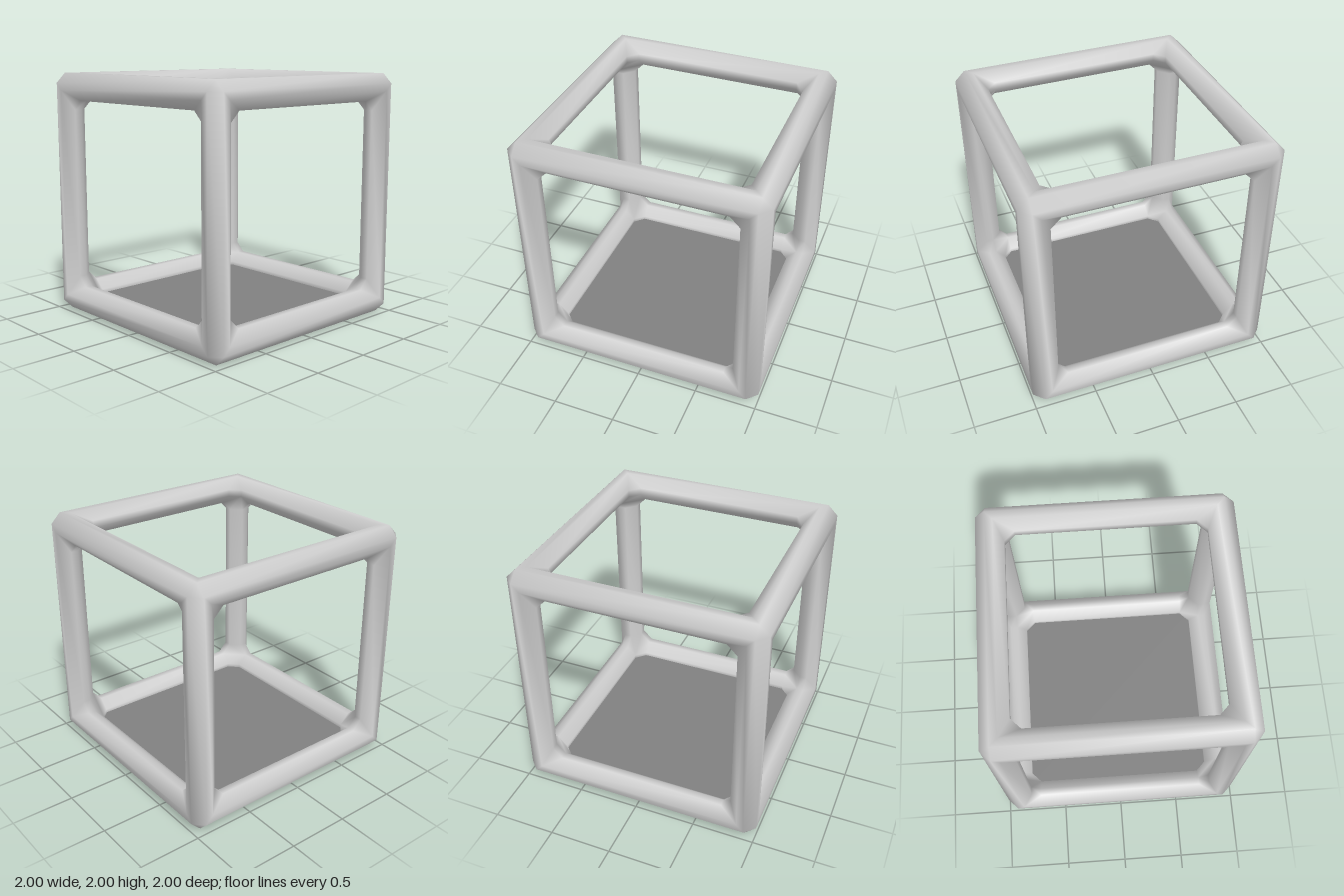
import * as THREE from 'three';
import { mergeVertices } from 'three/addons/utils/BufferGeometryUtils.js';

// Bevelled levels measured from the cube centre: outer face, outer bevel,
// inner bevel, inner face, and the start of the inside corner fillet.
const A = 1, O = 0.92, I = 0.86, M = 0.78, N = 0.70;
const SIGNS = [-1, 1];

function frameGeometry() {
  const positions = [];

  // Adds a convex polygon whose front looks along dir
  const face = (points, dir) => {
    const normal = new THREE.Vector3().crossVectors(
      points[1].clone().sub(points[0]), points[2].clone().sub(points[0]));
    const p = normal.dot(dir) < 0 ? [...points].reverse() : points;
    for (let k = 1; k < p.length - 1; k++) {
      for (const v of [p[0], p[k], p[k + 1]]) positions.push(v.x, v.y, v.z);
    }
  };
  // Point or direction with components given along axes a, a+1, a+2
  const vec = (a, u, v, w) => {
    const r = new THREE.Vector3();
    r.setComponent(a, u);
    r.setComponent((a + 1) % 3, v);
    r.setComponent((a + 2) % 3, w);
    return r;
  };

  // Octagonal beams: [reach along the beam, and the two cross coordinates]
  const ring = [[O, A, O], [O, O, A], [I, I, A], [N, M, O],
    [N, M, I], [N, I, M], [N, O, M], [I, A, I]];
  const centre = (A + M) / 2;
  for (let a = 0; a < 3; a++) for (const s of SIGNS) for (const t of SIGNS) {
    ring.forEach((p, k) => {
      const q = ring[(k + 1) % ring.length];
      face([
        vec(a, -p[0], s * p[1], t * p[2]), vec(a, p[0], s * p[1], t * p[2]),
        vec(a, q[0], s * q[1], t * q[2]), vec(a, -q[0], s * q[1], t * q[2]),
      ], vec(a, 0, s * ((p[1] + q[1]) / 2 - centre), t * ((p[2] + q[2]) / 2 - centre)));
    });
  }

  // Corner joints, mirrored into all eight corners
  for (const sx of SIGNS) for (const sy of SIGNS) for (const sz of SIGNS) {
    const flip = new THREE.Vector3(sx, sy, sz);
    const c = (a, u, v, w) => vec(a, u, v, w).multiply(flip);
    face([c(0, A, O, O), c(0, O, A, O), c(0, O, O, A)], c(0, 1, 1, 1));
    face([c(0, N, M, I), c(0, M, N, I), c(0, I, N, M),
      c(0, I, M, N), c(0, M, I, N), c(0, N, I, M)], c(0, -1, -1, -1));
    for (let a = 0; a < 3; a++) {
      face([c(a, A, I, I), c(a, O, N, M), c(a, O, M, N)], c(a, 1, -1, -1));
      face([c(a, I, N, M), c(a, O, N, M), c(a, O, M, N), c(a, I, M, N)], c(a, 0, -1, -1));
    }
  }

  const raw = new THREE.BufferGeometry();
  raw.setAttribute('position', new THREE.Float32BufferAttribute(positions, 3));
  const geometry = mergeVertices(raw, 1e-4);
  geometry.computeVertexNormals();
  return geometry;
}

export function createModel() {
  const frameGrey = new THREE.MeshStandardMaterial({ color: 0xcccccc });
  frameGrey.name = 'light grey frame';
  const floorGrey = new THREE.MeshStandardMaterial({ color: 0x808080, side: THREE.DoubleSide });
  floorGrey.name = 'dark grey floor';

  const model = new THREE.Group();
  model.name = 'cubeFrame';

  // Twelve rounded beams joined at the corners
  const frame = new THREE.Mesh(frameGeometry(), frameGrey);
  frame.name = 'frame';
  frame.position.y = 1;
  model.add(frame);

  // Thin sheet set into the middle of the bottom beams
  const floor = new THREE.Mesh(new THREE.PlaneGeometry(1.6, 1.6), floorGrey);
  floor.name = 'floorPanel';
  floor.rotation.x = -Math.PI / 2;
  floor.position.y = 0.11;
  model.add(floor);

  return model;
}
